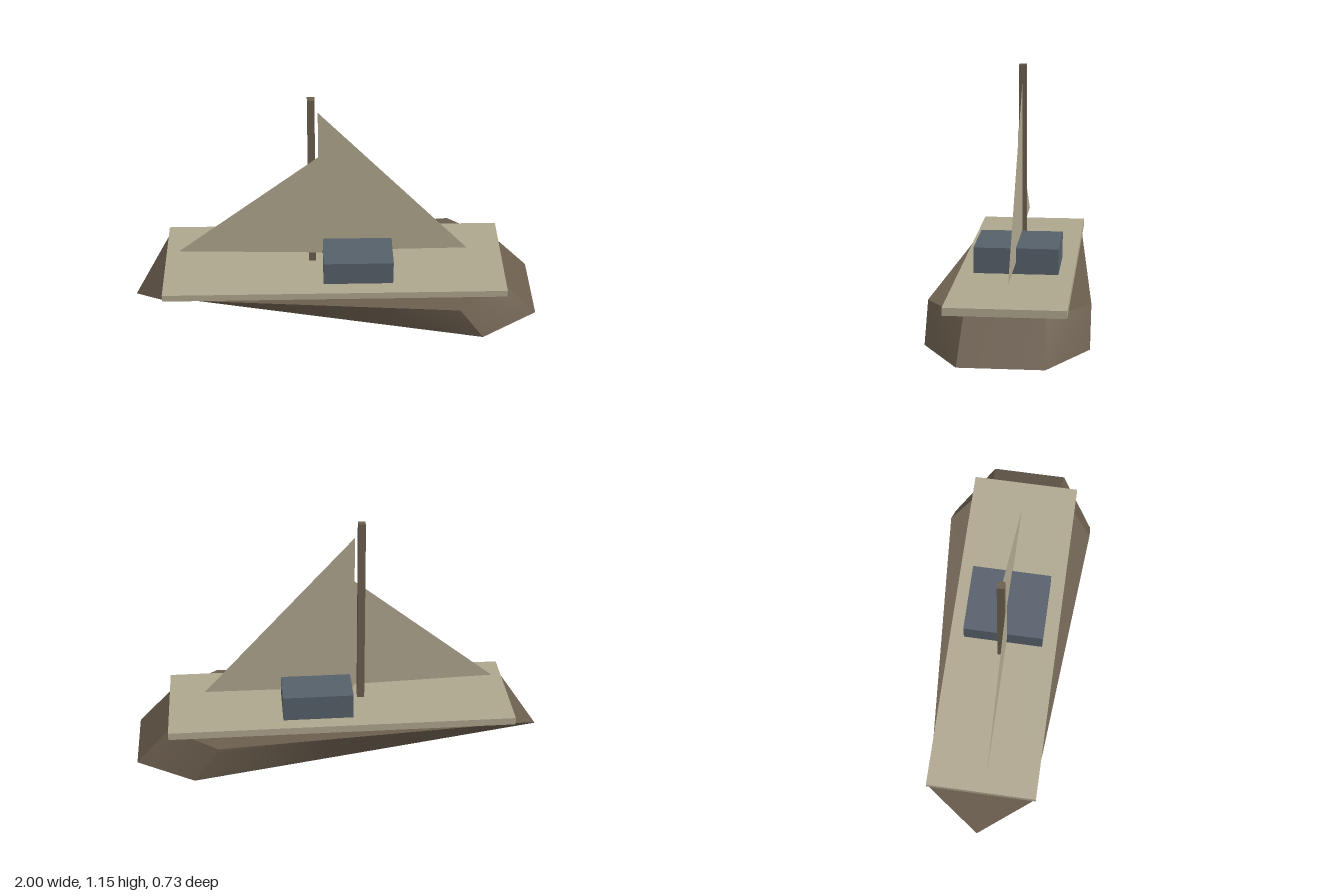
import * as THREE from 'three';

function material(name, color, side = THREE.FrontSide) {
  const m = new THREE.MeshStandardMaterial({ color, side });
  m.name = name;
  return m;
}

export function createModel() {
  const boat = new THREE.Group();
  boat.name = 'sailboat';
  const wood = material('dark wood', 0x6b5e4e);
  const cream = material('cream', 0xaea68e, THREE.DoubleSide);
  const slate = material('slate blue', 0x56606a);

  function add(name, geometry, mat, x = 0, y = 0, z = 0) {
    const mesh = new THREE.Mesh(geometry, mat);
    mesh.name = name;
    mesh.position.set(x, y, z);
    boat.add(mesh);
  }

  // Hull: pointed keel outline lofted to a blunt-bowed upper outline, [x, z]
  const H = 0.173;
  const lower = [[-1, 0], [0.72, 0.367], [1, 0.19], [1, -0.19], [0.72, -0.367], [-1, 0]];
  const upper = [[-0.84, 0.255], [0.6, 0.367], [0.84, 0.178], [0.84, -0.178], [0.6, -0.367], [-0.84, -0.255]];
  const positions = [];
  const index = [];
  const mix = THREE.MathUtils.lerp;
  const STEPS = 8;

  // Each side is a ruled patch with its own vertices, so the corners stay sharp
  for (let i = 0; i < 6; i++) {
    const j = (i + 1) % 6;
    const start = positions.length / 3;
    for (let s = 0; s <= STEPS; s++) {
      for (let t = 0; t <= STEPS; t++) {
        const u = s / STEPS, v = t / STEPS;
        const at = (k) => mix(mix(lower[i][k], lower[j][k], u), mix(upper[i][k], upper[j][k], u), v);
        positions.push(at(0), H * v, at(1));
        if (s < STEPS && t < STEPS) {
          const a = start + s * (STEPS + 1) + t, b = a + STEPS + 1;
          index.push(a, b, b + 1, a, b + 1, a + 1);
        }
      }
    }
  }

  // Flat bottom and top of the hull
  for (const [ring, y] of [[lower, 0], [upper, H]]) {
    const start = positions.length / 3;
    ring.forEach(([x, z]) => positions.push(x, y, z));
    for (let k = 1; k < 5; k++) {
      if (y > 0) index.push(start, start + k, start + k + 1);
      else index.push(start, start + k + 1, start + k);
    }
  }
  const hull = new THREE.BufferGeometry();
  hull.setAttribute('position', new THREE.Float32BufferAttribute(positions, 3));
  hull.setIndex(index);
  hull.computeVertexNormals();
  add('hull', hull, wood);

  // Deck, cabin and mast
  add('deck', new THREE.BoxGeometry(1.675, 0.036, 0.543), cream, 0, 0.193, 0);
  add('cabin', new THREE.BoxGeometry(0.34, 0.125, 0.4), slate, 0.115, 0.2725, 0);
  add('mast', new THREE.BoxGeometry(0.035, 0.94, 0.035), wood, -0.107, 0.68, 0);

  // Flat triangular sails
  function sail(name, corners, z) {
    const shape = new THREE.Shape(corners.map(([x, y]) => new THREE.Vector2(x, y)));
    add(name, new THREE.ShapeGeometry(shape), cream, 0, 0, z);
  }
  sail('mainSail', [[-0.075, 0.262], [0.66, 0.268], [-0.075, 1.075]], 0);
  sail('jib', [[-0.765, 0.285], [-0.057, 0.265], [-0.057, 0.853]], 0.02);

  return boat;
}
